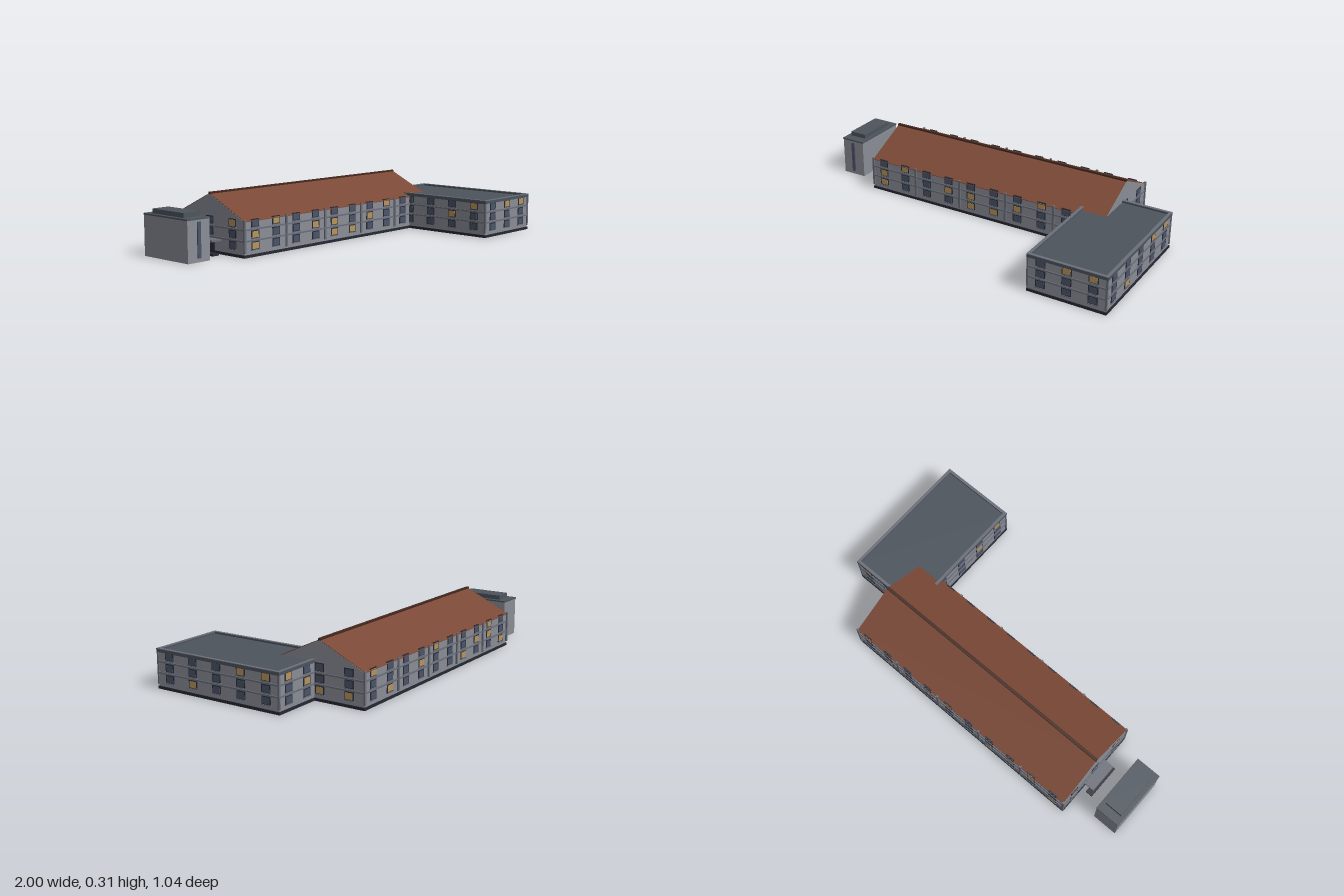
import * as THREE from 'three';

const mat = (color) => new THREE.MeshStandardMaterial({ color });
const M = {
  wall: mat(0x8a8d96), plinth: mat(0x262833), trim: mat(0x6b6f7a), frame: mat(0x2a2f3b),
  glass: mat(0x4a5468), lit: mat(0xb8935a), tile: mat(0x7a4836), ridge: mat(0x45281f),
  flat: mat(0x4c545c),
};
const BASE = 0.014, STOREY = 0.0563;

// Box given by its limits on each axis
function box(parent, name, material, x0, x1, y0, y1, z0, z1) {
  const m = new THREE.Mesh(new THREE.BoxGeometry(x1 - x0, y1 - y0, z1 - z0), material);
  m.position.set((x0 + x1) / 2, (y0 + y1) / 2, (z0 + z1) / 2);
  m.name = name;
  parent.add(m);
  return m;
}

// Profile in (z, y) extruded along x from x0 to x1
function prism(parent, name, material, points, x0, x1) {
  const shape = new THREE.Shape(points.map(([z, y]) => new THREE.Vector2(z, y)));
  const g = new THREE.ExtrudeGeometry(shape, { depth: x1 - x0, bevelEnabled: false });
  g.rotateY(-Math.PI / 2).translate(x1, 0, 0);
  const m = new THREE.Mesh(g, material);
  m.name = name;
  parent.add(m);
}

// Window facing local +z: frame, pane and sill
function windowUnit(lit) {
  const g = new THREE.Group();
  g.name = 'window';
  box(g, 'windowFrame', M.frame, -0.026, 0.026, -0.021, 0.021, -0.004, 0.003);
  box(g, 'windowPane', lit ? M.lit : M.glass, -0.021, 0.021, -0.016, 0.016, 0, 0.004);
  box(g, 'windowSill', M.trim, -0.029, 0.029, -0.023, -0.019, -0.004, 0.006);
  return g;
}

// Facade with a window grid; local x runs along the wall, local +z points outwards.
// lit lists "storey:bay" entries, skip leaves entries out.
function facade(parent, name, x, z, angle, length, bays, lit, skip = []) {
  const f = new THREE.Group();
  f.name = name;
  f.position.set(x, 0, z);
  f.rotation.y = angle;
  for (let s = 0; s < 3; s++) {
    for (let b = 0; b < bays; b++) {
      if (skip.includes(`${s}:${b}`)) continue;
      const w = windowUnit(lit.includes(`${s}:${b}`));
      w.position.set(-length / 2 + (b + 0.5) * length / bays, BASE + 0.042 + s * STOREY, 0);
      f.add(w);
    }
  }
  parent.add(f);
  return f;
}

// Walls, plinth and floor bands of one block
function block(parent, x0, x1, z0, z1, top) {
  box(parent, 'walls', M.wall, x0, x1, BASE, top, z0, z1);
  const p = 0.005;
  box(parent, 'plinth', M.plinth, x0 - p, x1 + p, 0, BASE, z0 - p, z1 + p);
  for (let s = 1; s < 3; s++) {
    const y = BASE + s * STOREY + 0.012;
    box(parent, 'floorBand', M.trim, x0 - p, x1 + p, y - 0.004, y + 0.004, z0 - p, z1 + p);
  }
}

function mainBuilding() {
  const g = new THREE.Group();
  g.name = 'mainBuilding';
  const x0 = -0.715, x1 = 0.725, z0 = -0.517, z1 = -0.013;
  const cx = (x0 + x1) / 2, cz = (z0 + z1) / 2, eave = 0.18, peak = 0.3;
  block(g, x0, x1, z0, z1, eave);

  // Gabled roof: grey gable body with a thin tiled covering
  prism(g, 'gables', M.wall, [[z0, eave], [z1, eave], [cz, peak]], x0 - 0.001, x1 + 0.001);
  prism(g, 'tiledRoof', M.tile, [[z0 - 0.005, eave - 0.001], [cz, peak - 0.001], [z1 + 0.005, eave - 0.001],
    [z1 + 0.005, eave + 0.002], [cz, peak + 0.003], [z0 - 0.005, eave + 0.002]], x0, x1);
  box(g, 'ridgeCap', M.ridge, x0 - 0.002, x1 + 0.002, peak - 0.002, peak + 0.008, cz - 0.008, cz + 0.008);

  // Windows on all sides
  const L = x1 - x0, D = z1 - z0;
  facade(g, 'frontFacade', cx, z1, 0, L, 10, ['0:0', '0:4', '0:5', '1:0', '1:3', '1:4', '1:6', '2:1', '2:7']);
  facade(g, 'backFacade', cx, z0, Math.PI, L, 10, ['0:1', '0:6', '0:9', '1:3', '1:7', '1:8', '2:0', '2:4', '2:8']);
  facade(g, 'leftGable', x1, cz, Math.PI / 2, D, 3, ['0:1', '0:2']);
  facade(g, 'rightGable', x0, cz, -Math.PI / 2, D, 3, ['1:0', '2:2'], ['0:1']);

  // Pilasters every second bay, front and back
  for (let k = 0; k <= 5; k++) {
    const x = x0 + k * L / 5;
    box(g, 'frontPilaster', M.trim, x - 0.006, x + 0.006, 0.024, 0.19, z1 - 0.002, z1 + 0.008);
    box(g, 'backPilaster', M.trim, x - 0.006, x + 0.006, 0.024, 0.19, z0 - 0.008, z0 + 0.002);
  }

  // Side entrance with canopy and step
  box(g, 'entranceDoor', M.frame, x0 - 0.006, x0, BASE, 0.066, cz - 0.035, cz + 0.035);
  box(g, 'entranceCanopy', M.trim, -0.778, x0, 0.068, 0.078, cz - 0.083, cz + 0.083);
  box(g, 'entranceStep', M.plinth, -0.785, -0.745, 0, 0.011, cz - 0.097, cz + 0.097);
  return g;
}

function wing() {
  const g = new THREE.Group();
  g.name = 'wing';
  const x0 = 0.577, x1 = 0.993, z0 = -0.232, z1 = 0.513;
  const cx = (x0 + x1) / 2, cz = (z0 + z1) / 2, W = x1 - x0, D = z1 - z0;
  block(g, x0, x1, z0, z1, 0.188);

  // Flat roof sunk between parapets
  box(g, 'flatRoof', M.flat, x0, x1, 0.184, 0.194, z0, z1);
  const o = 0.006, t = 0.016;
  const rims = [
    [x0 - o, x1 + o, z1 + o - t, z1 + o], [x0 - o, x1 + o, z0 - o, z0 - o + t],
    [x0 - o, x0 - o + t, z0 - o + t, z1 + o - t], [x1 + o - t, x1 + o, z0 - o + t, z1 + o - t],
  ];
  for (const [a, b, c, d] of rims) {
    box(g, 'parapet', M.flat, a, b, 0.187, 0.202, c, d);
    box(g, 'coping', M.trim, a, b, 0.202, 0.205, c, d);
  }

  facade(g, 'wingFront', cx, z1, 0, W, 3, ['2:1', '2:2']);
  facade(g, 'wingBack', cx, z0, Math.PI, W, 3, ['1:1', '2:0'], ['0:2', '1:2', '2:2']);
  facade(g, 'wingLeft', x1, cz, Math.PI / 2, D, 5, ['0:1', '2:3', '2:4']);
  facade(g, 'wingRight', x0, cz, -Math.PI / 2, D, 5, ['1:3', '2:4']);

  // Corner pilasters
  for (const x of [x0, x1]) for (const z of [z0, z1])
    box(g, 'cornerPilaster', M.trim, x - 0.005, x + 0.005, 0.024, 0.188, z - 0.005, z + 0.005);
  return g;
}

function outbuilding() {
  const g = new THREE.Group();
  g.name = 'outbuilding';
  box(g, 'towerWalls', M.wall, -0.998, -0.86, 0, 0.208, -0.433, -0.102);
  box(g, 'towerRoof', M.flat, -1, -0.858, 0.208, 0.216, -0.435, -0.1);
  box(g, 'roofUnit', M.flat, -0.979, -0.88, 0.216, 0.24, -0.388, -0.152);
  box(g, 'frontStrip', M.glass, -0.939, -0.919, 0.02, 0.198, -0.104, -0.096);
  return g;
}

export function createModel() {
  const model = new THREE.Group();
  model.name = 'buildingComplex';
  model.add(mainBuilding(), wing(), outbuilding());
  return model;
}
